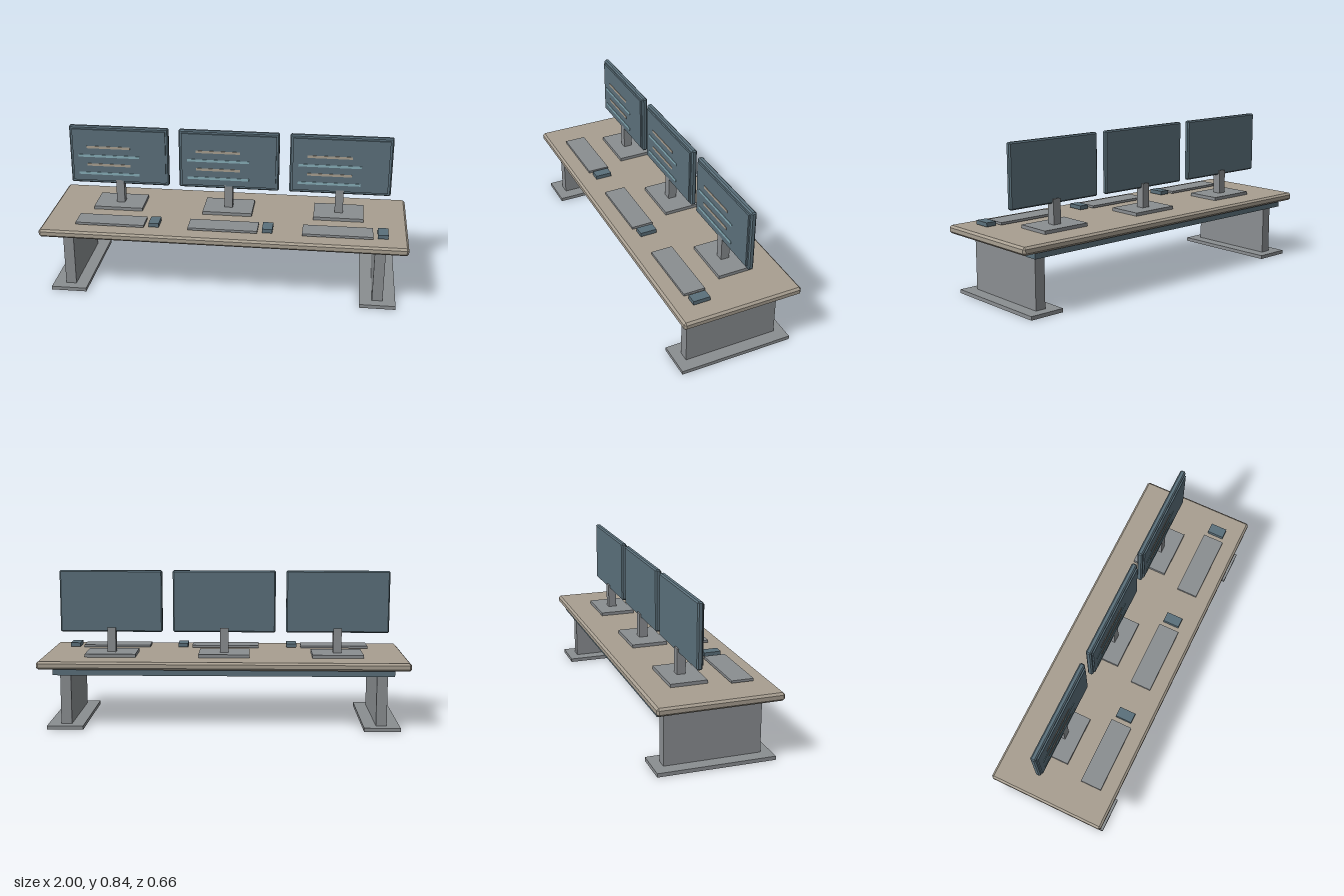
import * as THREE from 'three';
import { ConvexGeometry } from 'three/addons/geometries/ConvexGeometry.js';

const makeMaterial = (name, color) => {
  const m = new THREE.MeshStandardMaterial({ color });
  m.name = name;
  return m;
};

// Box given by its [min, max] range on each axis
function box(name, material, [x0, x1], [y0, y1], [z0, z1]) {
  const mesh = new THREE.Mesh(new THREE.BoxGeometry(x1 - x0, y1 - y0, z1 - z0), material);
  mesh.position.set((x0 + x1) / 2, (y0 + y1) / 2, (z0 + z1) / 2);
  mesh.name = name;
  return mesh;
}

// Box with every edge cut off at 45 degrees
function chamferedBox(name, material, [x0, x1], [y0, y1], [z0, z1], c) {
  const half = [(x1 - x0) / 2, (y1 - y0) / 2, (z1 - z0) / 2];
  const points = [];
  for (const sx of [-1, 1]) for (const sy of [-1, 1]) for (const sz of [-1, 1]) {
    for (let axis = 0; axis < 3; axis++) {
      const [x, y, z] = half.map((h, i) => (i === axis ? h : h - c));
      points.push(new THREE.Vector3(sx * x, sy * y, sz * z));
    }
  }
  const mesh = new THREE.Mesh(new ConvexGeometry(points), material);
  mesh.position.set((x0 + x1) / 2, (y0 + y1) / 2, (z0 + z1) / 2);
  mesh.name = name;
  return mesh;
}

export function createModel() {
  const wood = makeMaterial('warm beige', 0xa89f91);
  const metal = makeMaterial('grey metal', 0x8a8e91);
  const slate = makeMaterial('slate blue', 0x5b707b);
  const lightBlue = makeMaterial('light blue', 0x86adb8);

  const model = new THREE.Group();
  model.name = 'desk';

  // Table top and the cable tray under its back edge
  model.add(chamferedBox('tableTop', wood, [-1, 1], [0.331, 0.374], [-0.328, 0.328], 0.011));
  model.add(box('cableTray', slate, [-0.915, 0.915], [0.297, 0.332], [-0.3, -0.225]));

  // Panel legs on flat feet
  for (const side of [-1, 1]) {
    const leg = new THREE.Group();
    leg.name = side > 0 ? 'leftLeg' : 'rightLeg';
    leg.add(box('legPanel', metal, [-0.029, 0.029], [0.02, 0.332], [-0.257, 0.257]));
    leg.add(box('foot', metal, [-0.098, 0.098], [0, 0.02], [-0.311, 0.311]));
    leg.position.x = side * 0.854;
    model.add(leg);
  }

  // Three identical workstations
  for (const x of [-0.622, 0, 0.622]) {
    const station = new THREE.Group();
    station.name = 'workstation';

    // Stand
    station.add(box('standBase', metal, [-0.139, 0.139], [0.373, 0.392], [-0.18, 0.016]));
    station.add(box('standNeck', metal, [-0.023, 0.023], [0.392, 0.527], [-0.105, -0.058]));

    // Monitor housing and raised screen
    station.add(chamferedBox('monitorHousing', slate, [-0.282, 0.282], [0.502, 0.842], [-0.096, -0.066], 0.007));
    station.add(box('screen', slate, [-0.265, 0.265], [0.52, 0.825], [-0.067, -0.058]));

    // Lines shown on the screen, alternating short and long
    for (let i = 0; i < 4; i++) {
      const y = 0.721 - i * 0.0525;
      const long = i % 2 === 1;
      const w = long ? 0.174 : 0.124;
      station.add(box('screenLine', long ? lightBlue : wood,
        [-0.06 - w, -0.06 + w], [y - 0.007, y + 0.007], [-0.06, -0.0555]));
    }

    // Keyboard and mouse
    station.add(box('keyboard', metal, [-0.19, 0.19], [0.379, 0.392], [0.122, 0.24]));
    station.add(box('mouse', slate, [0.215, 0.271], [0.379, 0.401], [0.135, 0.227]));

    station.position.x = x;
    model.add(station);
  }

  return model;
}
